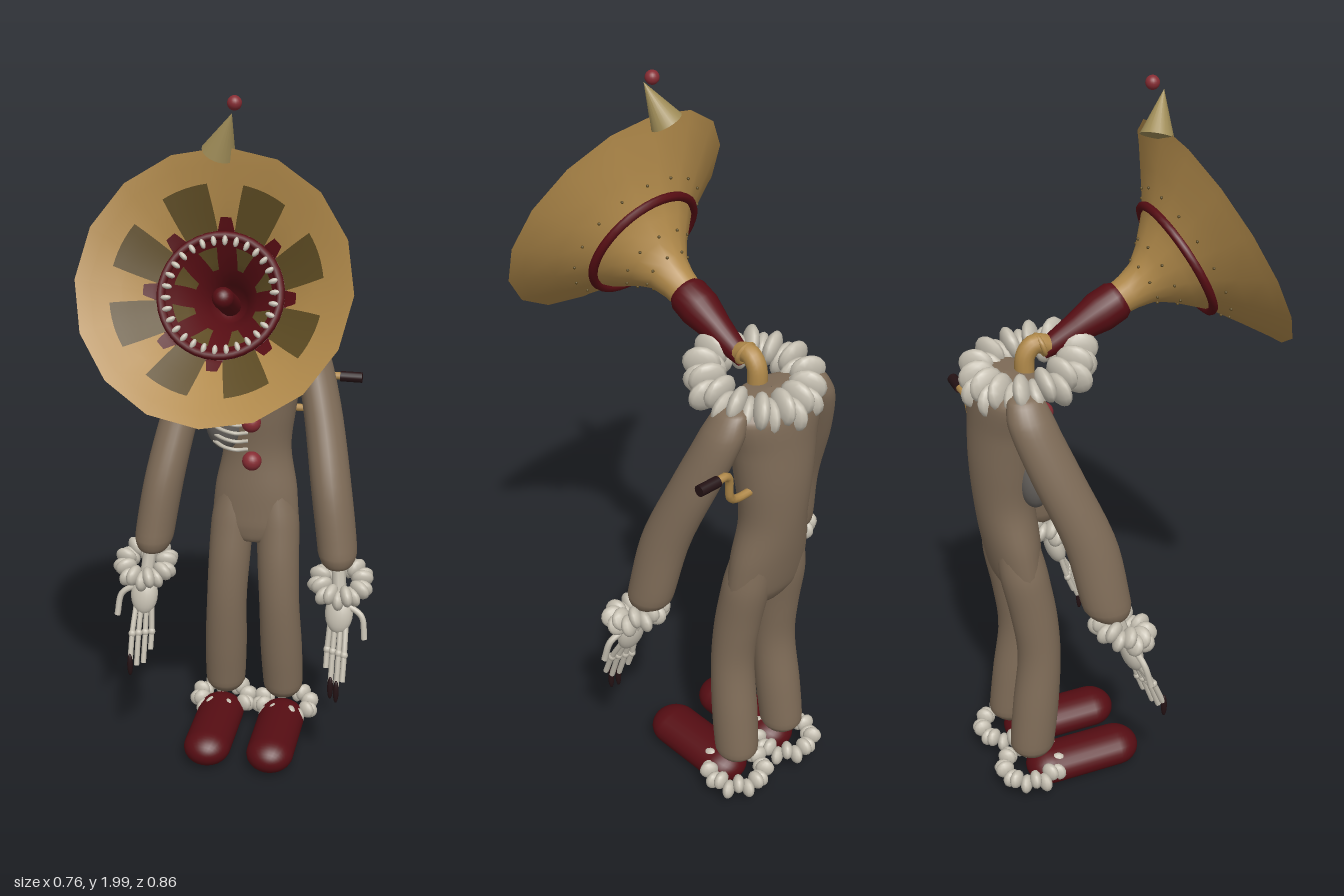
import * as THREE from 'three';

const mat = (name, color, side = THREE.FrontSide) => {
  const m = new THREE.MeshStandardMaterial({ color, side });
  m.name = name;
  return m;
};
const cloth = mat('brown cloth', 0x7f6c58);
const brass = mat('brass', 0xb0894a, THREE.DoubleSide);
const darkBrass = mat('dark brass', 0x5c4a22, THREE.DoubleSide);
const maroon = mat('maroon', 0x560d13, THREE.DoubleSide);
const bone = mat('off white', 0xc4beb0);
const red = mat('button red', 0x862c33);
const olive = mat('olive', 0xa08d58);
const grey = mat('grey', 0x66625e);
const black = mat('near black', 0x241214);

const V = (x, y, z) => new THREE.Vector3(x, y, z);

function add(parent, name, geometry, material, pos = [0, 0, 0], scale = [1, 1, 1]) {
  const m = new THREE.Mesh(geometry, material);
  m.name = name;
  m.position.set(...pos);
  m.scale.set(...scale);
  parent.add(m);
  return m;
}

function group(parent, name, pos = [0, 0, 0]) {
  const g = new THREE.Group();
  g.name = name;
  g.position.set(...pos);
  parent.add(g);
  return g;
}

const ball = new THREE.SphereGeometry(1, 20, 14);
const lump = new THREE.SphereGeometry(1, 12, 8);

// Smooth body from elliptical sections [x, y, z, rx, rz], listed bottom to top
function loft(sections, sides = 24, rows = 36) {
  const path = new THREE.CatmullRomCurve3(sections.map(s => V(s[0], s[1], s[2])));
  const size = new THREE.CatmullRomCurve3(sections.map(s => V(s[3], s[4], 0)));
  const pos = [], idx = [];
  for (let i = 0; i <= rows; i++) {
    const p = path.getPoint(i / rows), r = size.getPoint(i / rows);
    for (let j = 0; j < sides; j++) {
      const a = (j / sides) * Math.PI * 2;
      pos.push(p.x + Math.cos(a) * Math.max(r.x, 0.001), p.y, p.z + Math.sin(a) * Math.max(r.y, 0.001));
      if (i === rows) continue;
      const k = i * sides + j, n = i * sides + (j + 1) % sides;
      idx.push(k, k + sides, n, n, k + sides, n + sides);
    }
  }
  const g = new THREE.BufferGeometry();
  g.setAttribute('position', new THREE.Float32BufferAttribute(pos, 3));
  g.setIndex(idx);
  g.computeVertexNormals();
  return g;
}

function tube(points, radius, sides = 8) {
  return new THREE.TubeGeometry(new THREE.CatmullRomCurve3(points.map(p => V(...p))), 16, radius, sides);
}

// Ring of puffed folds, alternately high and low
function frill(parent, name, pos, tilt, count, R, [radial, high, wide]) {
  const g = group(parent, name, pos);
  g.rotation.x = tilt;
  for (let i = 0; i < count; i++) {
    const a = (i / count) * Math.PI * 2, s = i % 2 ? 1 : -1;
    const r = R + 0.06 * R * Math.sin(i * 2.4);
    const fold = add(g, 'fold', lump, bone, [Math.sin(a) * r, s * high * 0.3, Math.cos(a) * r], [wide, high, radial]);
    fold.rotation.set(s * 0.25, a, 0, 'YXZ');
  }
}

// Horn wall: radius against depth behind the rim
const wall = [[0.043, -0.31], [0.048, -0.27], [0.06, -0.226], [0.09, -0.185],
  [0.127, -0.148], [0.163, -0.112], [0.24, -0.062], [0.31, -0.018], [0.342, 0]];

function depthAt(r) {
  for (let i = 1; i < wall.length; i++) {
    const [r0, t0] = wall[i - 1], [r1, t1] = wall[i];
    if (r <= r1) return t0 + (t1 - t0) * (r - r0) / (r1 - r0);
  }
  return 0;
}

// Thin painted plate lying inside the horn
function hornPlate(angle, r0, r1, w0, w1) {
  const g = new THREE.PlaneGeometry(1, 1, 6, 6), p = g.attributes.position;
  for (let i = 0; i < p.count; i++) {
    const k = p.getY(i) + 0.5, r = r0 + (r1 - r0) * k;
    const a = angle + p.getX(i) * (w0 + (w1 - w0) * k);
    p.setXYZ(i, Math.sin(a) * (r - 0.004), depthAt(r) + 0.005, Math.cos(a) * (r - 0.004));
  }
  g.computeVertexNormals();
  return g;
}

function buildHorn(root) {
  const horn = group(root, 'hornHead', [0, 1.575, 0.275]);
  horn.rotation.x = 1.10;
  const profile = pts => pts.map(p => new THREE.Vector2(...p));
  add(horn, 'hornBell', new THREE.LatheGeometry(profile(wall), 16), brass);
  add(horn, 'hornNeck', new THREE.LatheGeometry(profile(
    [[0.022, -0.54], [0.03, -0.5], [0.04, -0.43], [0.054, -0.36], [0.053, -0.31], [0.045, -0.295]]), 20), maroon);
  add(horn, 'throatLining', new THREE.LatheGeometry(profile(
    [[0.001, -0.29], [0.036, -0.27], [0.05, -0.226], [0.08, -0.18], [0.117, -0.143], [0.152, -0.108]]), 24), maroon);
  const band = add(horn, 'outerBand', new THREE.TorusGeometry(0.161, 0.012, 8, 40), maroon, [0, -0.118, 0]);
  band.rotation.x = Math.PI / 2;
  const gum = add(horn, 'gumRing', new THREE.TorusGeometry(0.15, 0.011, 8, 40), maroon, [0, -0.105, 0]);
  gum.rotation.x = Math.PI / 2;
  add(horn, 'tongue', new THREE.CapsuleGeometry(0.028, 0.1, 6, 14), maroon, [0, -0.19, 0]);

  for (let i = 0; i < 8; i++) {
    const a = i * Math.PI / 4;
    add(horn, 'darkPetal', hornPlate(a + Math.PI / 8, 0.165, 0.268, 0.52, 0.44), darkBrass);
    add(horn, 'throatPatch', hornPlate(a + Math.PI / 8, 0.085, 0.13, 0.2, 0.4).translate(0, 0.012, 0), darkBrass);
    add(horn, 'redSpike', hornPlate(a, 0.155, 0.195, 0.3, 0.14), maroon);
  }
  // Teeth around the throat
  for (let i = 0; i < 30; i++) {
    const a = i / 30 * Math.PI * 2;
    const tooth = add(horn, 'tooth', lump, bone, [Math.sin(a) * 0.137, -0.1, Math.cos(a) * 0.137], [0.007, 0.009, 0.014]);
    tooth.rotation.y = a;
  }
  // Rivets on the outside
  for (const [r, n] of [[0.065, 8], [0.1, 10], [0.2, 16]])
    for (let i = 0; i < n; i++) {
      const a = (i + 0.5) / n * Math.PI * 2;
      add(horn, 'rivet', lump, darkBrass, [Math.sin(a) * r, depthAt(r) - 0.002, Math.cos(a) * r], [0.004, 0.004, 0.004]);
    }
}

function buildSide(root, s) {
  const side = s > 0 ? 'left' : 'right';
  const mirror = list => list.map(([x, ...rest]) => [x * s, ...rest]);

  add(root, side + 'Leg', loft(mirror([
    [0.09, 0.112, -0.30, 0, 0], [0.09, 0.116, -0.30, 0.035, 0.035], [0.09, 0.15, -0.30, 0.06, 0.063],
    [0.086, 0.28, -0.285, 0.063, 0.065], [0.08, 0.45, -0.268, 0.06, 0.06], [0.074, 0.58, -0.278, 0.062, 0.064],
    [0.068, 0.7, -0.298, 0.063, 0.066], [0.06, 0.8, -0.312, 0.05, 0.06]])), cloth);

  add(root, side + 'Arm', loft(mirror([
    [0.27, 0.655, -0.128, 0, 0], [0.27, 0.66, -0.13, 0.038, 0.042], [0.267, 0.7, -0.142, 0.056, 0.066],
    [0.24, 0.88, -0.175, 0.057, 0.07], [0.2, 1.08, -0.25, 0.054, 0.068], [0.162, 1.22, -0.297, 0.05, 0.062],
    [0.14, 1.28, -0.305, 0.035, 0.045], [0.13, 1.3, -0.305, 0, 0]])), cloth);

  frill(root, side + 'Cuff', [0.285 * s, 0.622, -0.105], 0.4, 18, 0.062, [0.032, 0.03, 0.018]);

  // Bony hand
  const hand = group(root, side + 'Hand');
  add(hand, 'wrist', tube([[0.275 * s, 0.66, -0.12], [0.285 * s, 0.56, -0.09]], 0.02), bone);
  const palm = add(hand, 'palm', ball, bone, [0.285 * s, 0.535, -0.078], [0.04, 0.06, 0.028]);
  palm.rotation.x = -0.3;
  [[0.258, 0.38, -0.03], [0.275, 0.345, -0.01], [0.293, 0.34, 0], [0.31, 0.36, 0.005]].forEach(([x, y, z], i) => {
    const top = [(0.262 + i * 0.015) * s, 0.51, -0.07];
    add(hand, 'finger', tube([top, [x * s, 0.43, -0.048 + i * 0.008], [x * s, y, z]], 0.008), bone);
    add(hand, 'knuckle', lump, bone, [x * s, 0.43, -0.048 + i * 0.008], [0.011, 0.012, 0.011]);
    const dark = s > 0 ? i === 1 || i === 2 : i === 3;
    if (dark) add(hand, 'fingerNail', lump, black, [x * s, y - 0.015, z + 0.004], [0.0085, 0.036, 0.0085]);
  });
  add(hand, 'thumb', tube([[0.31 * s, 0.56, -0.08], [0.35 * s, 0.535, -0.07], [0.362 * s, 0.47, -0.055]], 0.009), bone);

  // Shoe and ankle frill
  const shoe = add(root, side + 'Shoe', new THREE.CapsuleGeometry(0.07, 0.2, 10, 22), maroon, [0.095 * s, 0.057, -0.15], [1, 1, 0.75]);
  shoe.rotation.x = Math.PI / 2;
  frill(root, side + 'AnkleFrill', [0.098 * s, 0.073, -0.31], 0, 18, 0.077, [0.027, 0.027, 0.017]);
}

export function createModel() {
  const root = new THREE.Group();
  root.name = 'hornHeadedClown';

  add(root, 'torso', loft([
    [0, 0.635, -0.29, 0, 0], [0, 0.65, -0.29, 0.07, 0.045], [0, 0.7, -0.3, 0.128, 0.066], [0, 0.8, -0.312, 0.122, 0.075],
    [0, 0.93, -0.325, 0.1, 0.08], [0, 1.05, -0.322, 0.113, 0.09], [0, 1.16, -0.315, 0.13, 0.092],
    [0, 1.25, -0.31, 0.155, 0.09], [0, 1.285, -0.305, 0.12, 0.07], [0, 1.295, -0.305, 0, 0]], 28, 48), cloth);

  for (const s of [-1, 1]) buildSide(root, s);

  frill(root, 'collarFrill', [0, 1.292, -0.245], -0.22, 28, 0.132, [0.05, 0.046, 0.022]);
  add(root, 'neckPipe', tube([[0, 1.345, -0.185], [0, 1.355, -0.225], [0, 1.33, -0.25], [0, 1.26, -0.255]], 0.026, 14), brass);
  const joint = add(root, 'neckJoint', new THREE.TorusGeometry(0.027, 0.007, 8, 20), brass, [0, 1.35, -0.21]);
  joint.rotation.x = -0.3;

  buildHorn(root);

  // Tilted hat with a bobble
  const hat = add(root, 'hat', new THREE.ConeGeometry(0.043, 0.115, 20), olive, [0.0, 1.912, 0.118]);
  hat.quaternion.setFromUnitVectors(V(0, 1, 0), V(0.04, 0.1, 0.036).normalize());
  add(root, 'hatBobble', ball, red, [0.02, 1.982, 0.105], [0.018, 0.018, 0.018]);

  // Front buttons
  for (const [y, z] of [[1.155, -0.208], [1.035, -0.225], [0.912, -0.238]])
    add(root, 'button', ball, red, [0, y, z], [0.028, 0.028, 0.028]);

  // Open chest with ribs
  add(root, 'chestHollow', ball, grey, [-0.085, 1.022, -0.268], [0.057, 0.09, 0.045]);
  for (let i = 0; i < 7; i++) {
    const y = 0.955 + i * 0.025, w = 0.045 * Math.sqrt(1 - ((i - 3) / 5) ** 2);
    add(root, 'rib', tube([[-0.075 - w, y + 0.008, -0.245], [-0.075, y + 0.004, -0.213],
      [-0.04, y, -0.208], [-0.012, y - 0.004, -0.23]], 0.006, 6), bone);
  }

  // Wind-up crank
  add(root, 'crankRod', tube([[0.06, 1.05, -0.34], [0.155, 1.05, -0.342], [0.178, 1.065, -0.345],
    [0.19, 1.13, -0.352], [0.205, 1.145, -0.356], [0.24, 1.145, -0.358]], 0.011, 10), brass);
  const grip = add(root, 'crankGrip', new THREE.CylinderGeometry(0.015, 0.015, 0.062, 14), black, [0.265, 1.145, -0.358]);
  grip.rotation.z = Math.PI / 2;

  return root;
}
